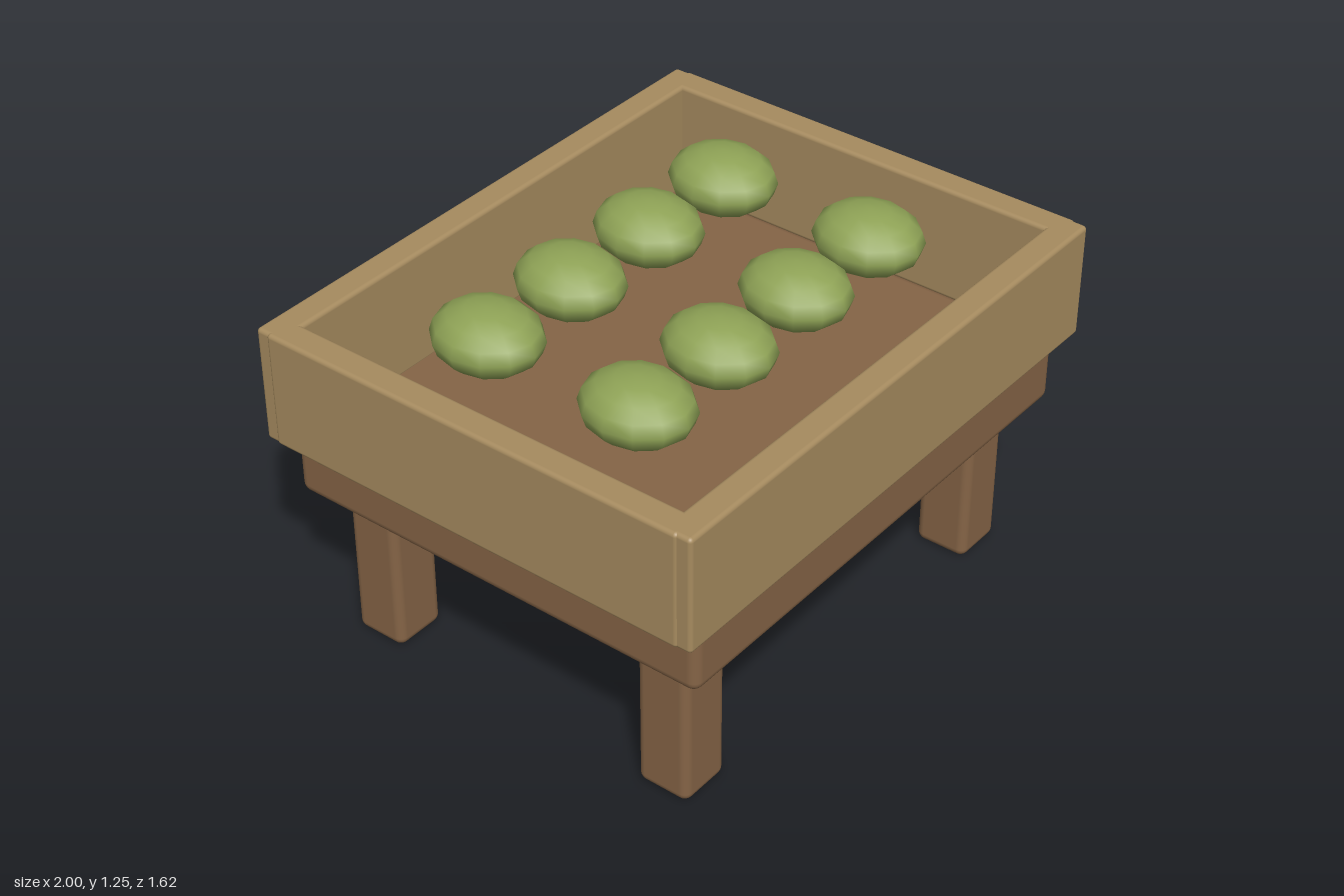
import * as THREE from 'three';
import { RoundedBoxGeometry } from 'three/addons/geometries/RoundedBoxGeometry.js';

export function createModel() {
  const model = new THREE.Group();
  model.name = 'produceStand';

  const darkWood = new THREE.MeshStandardMaterial({ color: 0x856446 });
  darkWood.name = 'dark wood';
  const paleWood = new THREE.MeshStandardMaterial({ color: 0xa68b5f });
  paleWood.name = 'pale wood';
  const green = new THREE.MeshStandardMaterial({ color: 0x8fa356 });
  green.name = 'melon green';

  function board(name, material, size, position, radius) {
    const mesh = new THREE.Mesh(new RoundedBoxGeometry(...size, 3, radius), material);
    mesh.position.set(...position);
    mesh.name = name;
    model.add(mesh);
  }

  // Table slab, which is also the floor of the crate
  board('tableTop', darkWood, [1.84, 0.235, 1.54], [0, 0.6675, 0], 0.035);

  // Four legs, reaching a little way into the slab
  for (const x of [-1, 1]) {
    for (const z of [-1, 1]) {
      board('leg', darkWood, [0.188, 0.62, 0.188], [x * 0.733, 0.31, z * 0.57], 0.03);
    }
  }

  // Crate walls: long boards front and back, shorter boards at the sides
  for (const s of [-1, 1]) {
    board(s > 0 ? 'frontWall' : 'backWall', paleWood, [1.99, 0.4, 0.1], [0, 0.975, s * 0.76], 0.014);
    board(s > 0 ? 'leftWall' : 'rightWall', paleWood, [0.1, 0.4, 1.53], [s * 0.95, 0.975, 0], 0.014);
  }

  // Two rows of four flattened melons
  const melonShape = new THREE.SphereGeometry(1, 12, 8).scale(0.162, 0.105, 0.185);
  for (const z of [-0.284, 0.284]) {
    for (let i = 0; i < 4; i++) {
      const melon = new THREE.Mesh(melonShape, green);
      melon.position.set((i - 1.5) * 0.378, 1.14, z);
      melon.name = 'melon';
      model.add(melon);
    }
  }

  return model;
}
